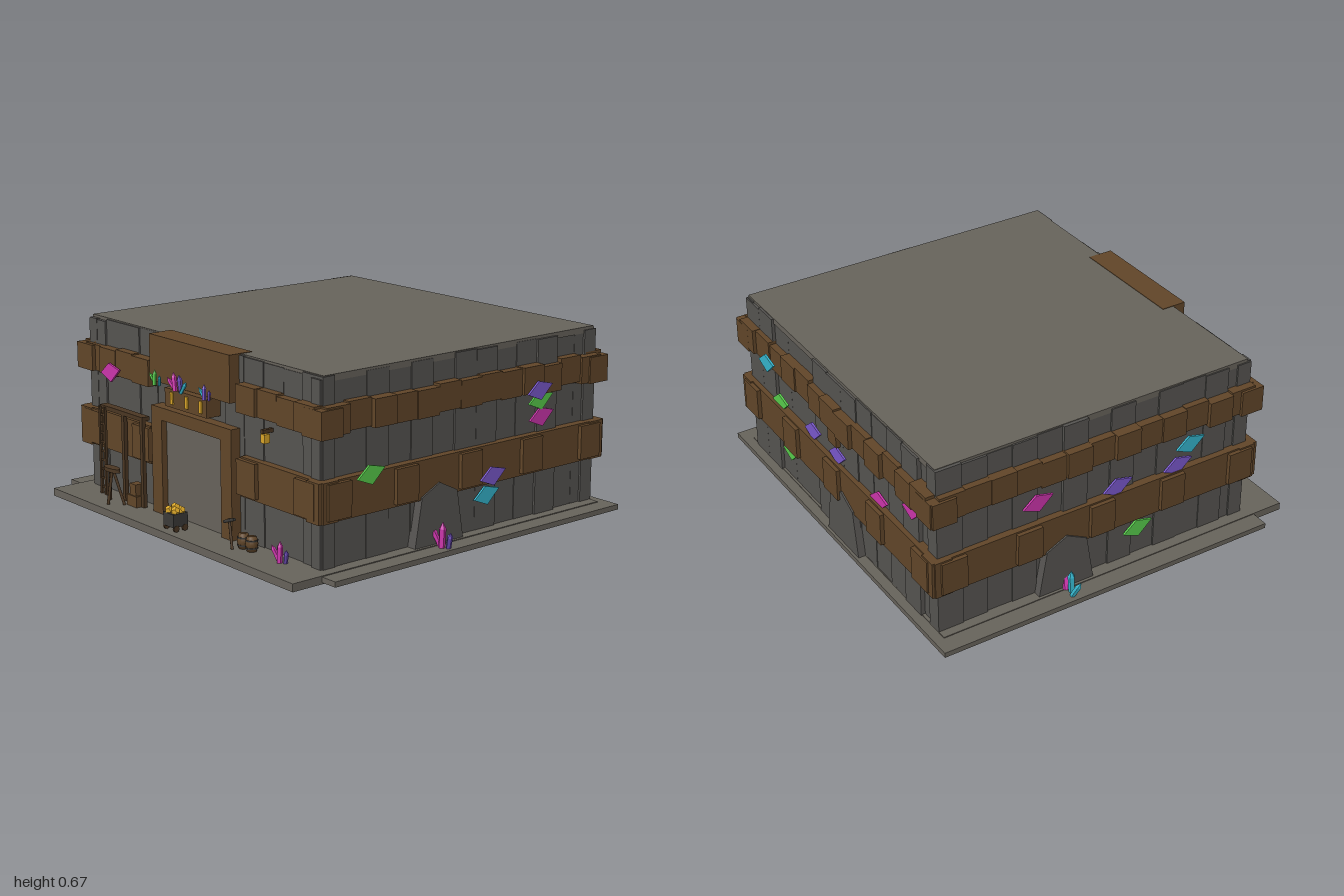
import * as THREE from 'three';

const mat = (name, color) => {
  const m = new THREE.MeshStandardMaterial({ color });
  m.name = name;
  return m;
};

export function createModel() {
  const M = {
    stone: mat('warm stone', 0x67635b), wall: mat('wall rock', 0x565451),
    wood: mat('timber', 0x614629), dark: mat('dark timber', 0x4b3723),
    iron: mat('iron', 0x3b3a38), gold: mat('gold', 0xd9a528),
    magenta: mat('magenta crystal', 0xcc35ac), cyan: mat('cyan crystal', 0x35b4cc),
    green: mat('green crystal', 0x58cc4c), purple: mat('purple crystal', 0x7a58cc),
  };
  const root = new THREE.Group();
  root.name = 'mineBuilding';
  let seed = 7;
  const rnd = () => (seed = (seed * 16807) % 2147483647) / 2147483647;

  const add = (parent, name, geo, m, x = 0, y = 0, z = 0) => {
    const mesh = new THREE.Mesh(geo, m);
    mesh.name = name;
    mesh.position.set(x, y, z);
    parent.add(mesh);
    return mesh;
  };
  // box given by its limits
  const box = (parent, name, m, x0, x1, y0, y1, z0, z1) =>
    add(parent, name, new THREE.BoxGeometry(x1 - x0, y1 - y0, z1 - z0), m,
      (x0 + x1) / 2, (y0 + y1) / 2, (z0 + z1) / 2);
  // straight round bar between two points
  const bar = (parent, name, m, a, b, r) => {
    const p = new THREE.Vector3(...a), q = new THREE.Vector3(...b), d = q.clone().sub(p);
    const mesh = add(parent, name, new THREE.CylinderGeometry(r, r, d.length(), 6), m);
    mesh.position.copy(p).add(q).multiplyScalar(0.5);
    mesh.quaternion.setFromUnitVectors(new THREE.Vector3(0, 1, 0), d.normalize());
    return mesh;
  };

  // base slabs, core and roof
  box(root, 'baseSlab', M.stone, -0.767, 0.765, 0.006, 0.025, -0.667, 0.66);
  box(root, 'frontSlab', M.stone, -0.7, 0.7, 0, 0.028, -0.63, 0.78);
  box(root, 'core', M.wall, -0.64, 0.64, 0.025, 0.65, -0.605, 0.6);
  box(root, 'roof', M.stone, -0.655, 0.655, 0.645, 0.667, -0.625, 0.615);

  // each side is built facing +z in its own frame, then turned
  const side = (name, turn, dist, half, gap) => {
    const g = new THREE.Group();
    g.name = name;
    g.rotation.y = turn;
    root.add(g);
    const n = Math.round(half * 2 / 0.1), w = half * 2 / n;
    for (let i = 0; i < n; i++) {
      const u = -half + i * w, c = u + w / 2;
      const inGap = Math.abs(c) < gap;
      // rock panels of uneven depth
      box(g, 'rockPanel', M.wall, u, u + w, 0.025, 0.655 + rnd() * 0.01, dist - 0.04, dist + rnd() * 0.018);
      // upper course of timber blocks
      if (!inGap) {
        const lift = (rnd() - 0.5) * 0.016;
        box(g, 'upperBlock', M.wood, u, u + w, 0.474 + lift, 0.57 + lift, dist - 0.03, dist + 0.03 + rnd() * 0.02);
      }
      // raised blocks on the lower beam
      if (!inGap && i % 3 === 0)
        box(g, 'lowerBlock', M.wood, u, u + w, 0.2, 0.322, dist - 0.03, dist + 0.049);
    }
    // lower beam and block ends at the corners
    const reach = half + 0.03;
    for (const s of [-1, 1]) {
      const a = s * (gap || 0), b = s * reach;
      box(g, 'lowerBeam', M.wood, Math.min(a, b), Math.max(a, b), 0.19, 0.328, dist - 0.03, dist + 0.034);
      box(g, 'cornerBlock', M.wood, Math.min(s * (half - 0.06), b), Math.max(s * (half - 0.06), b), 0.47, 0.565, dist - 0.03, dist + 0.048);
    }
    return g;
  };
  const front = side('frontWall', 0, 0.612, 0.66, 0.26);
  const right = side('leftWall', Math.PI / 2, 0.65, 0.63, 0);
  const back = side('backWall', Math.PI, 0.617, 0.66, 0);
  const left = side('rightWall', -Math.PI / 2, 0.65, 0.63, 0);

  // blocked side tunnels
  const arch = new THREE.Shape([[-0.11, 0.025], [0.11, 0.025], [0.08, 0.2], [0, 0.24], [-0.08, 0.2]]
    .map(p => new THREE.Vector2(...p)));
  const archGeo = new THREE.ExtrudeGeometry(arch, { depth: 0.04, bevelEnabled: false });
  for (const [g, u, d] of [[right, -0.14, 0.65], [left, -0.14, 0.65], [back, 0.06, 0.617]])
    add(g, 'sealedTunnel', archGeo, M.wall, u, 0, d);
  box(back, 'backBracket', M.wood, -0.03, 0.03, 0.4, 0.48, 0.6, 0.65);

  // flat crystal facets set in the walls
  const facet = new THREE.Shape([[-0.058, -0.01], [-0.008, 0.032], [0.058, 0.016], [0.004, -0.035]]
    .map(p => new THREE.Vector2(...p)));
  const facetGeo = new THREE.ExtrudeGeometry(facet, { depth: 0.008, bevelEnabled: false });
  const facets = [
    [right, 0.702, [['purple', 0.31, 0.49], ['green', 0.345, 0.445], ['magenta', 0.35, 0.385],
      ['green', -0.46, 0.33], ['purple', 0.09, 0.225], ['cyan', 0.09, 0.15]]],
    [left, 0.702, [['cyan', 0.37, 0.42], ['purple', 0.32, 0.35], ['purple', 0.07, 0.355],
      ['magenta', -0.25, 0.41], ['green', 0.16, 0.15]]],
    [back, 0.662, [['cyan', -0.45, 0.5], ['green', -0.42, 0.34], ['green', -0.36, 0.16],
      ['purple', -0.17, 0.355], ['purple', 0.01, 0.355], ['magenta', 0.3, 0.34], ['magenta', 0.52, 0.435]]],
    [front, 0.664, [['magenta', -0.47, 0.49]]],
  ];
  for (const [g, d, list] of facets)
    for (const [c, u, y] of list) add(g, 'crystalFacet', facetGeo, M[c], u, y, d - (y > 0.33 && y < 0.46 || y < 0.19 ? 0.03 : 0));

  // standing crystal clusters: colour, lean across, lean forward, height
  const crystal = (g, c, x, y, z, h, leanX, leanZ) => {
    const r = h * 0.13;
    const geo = new THREE.LatheGeometry([[0, 0], [r, 0], [r * 1.1, h * 0.72], [0, h]]
      .map(p => new THREE.Vector2(...p)), 5).toNonIndexed();
    geo.computeVertexNormals();
    add(g, 'crystal', geo, M[c], x, y, z).rotation.set(leanZ, 0, -leanX);
  };
  const cluster = (name, x, y, z, s, colours) => {
    const g = new THREE.Group();
    g.name = name;
    root.add(g);
    colours.forEach((c, i) => {
      const t = i - (colours.length - 1) / 2;
      crystal(g, c, x + t * s * 0.22, y, z + (i % 2) * 0.012, s * (1 - 0.2 * Math.abs(t)), t * 0.4, 0.25 - 0.3 * (i % 2));
    });
  };
  cluster('groundCrystals', -0.72, 0.025, -0.15, 0.09, ['cyan', 'cyan', 'magenta']);
  cluster('groundCrystals', 0.725, 0.025, 0.15, 0.09, ['magenta', 'magenta', 'purple']);
  cluster('groundCrystals', 0.51, 0.028, 0.67, 0.075, ['magenta', 'magenta', 'purple']);
  cluster('shelfCrystals', -0.15, 0.505, 0.69, 0.055, ['green', 'green', 'cyan']);
  cluster('shelfCrystals', -0.02, 0.505, 0.69, 0.075, ['magenta', 'magenta', 'purple', 'cyan']);
  cluster('shelfCrystals', 0.135, 0.505, 0.69, 0.055, ['cyan', 'purple', 'purple']);

  // entrance: frame, stone door, header and shelf
  for (const s of [-1, 1]) box(root, 'doorPost', M.wood, s * 0.2 - 0.03, s * 0.2 + 0.03, 0.028, 0.415, 0.6, 0.662);
  box(root, 'doorLintel', M.wood, -0.17, 0.17, 0.37, 0.415, 0.6, 0.662);
  box(root, 'stoneDoor', M.stone, -0.17, 0.17, 0.028, 0.37, 0.6, 0.64);
  box(root, 'headerBoard', M.wood, -0.23, 0.23, 0.505, 0.669, 0.57, 0.665);
  box(root, 'shelfBeam', M.wood, -0.12, 0.12, 0.435, 0.5, 0.61, 0.68);
  for (const x of [-0.075, 0.01, 0.09]) box(root, 'goldBar', M.gold, x - 0.007, x + 0.007, 0.448, 0.49, 0.68, 0.686);

  // scaffold frame and ladder
  for (const x of [-0.4, -0.285]) box(root, 'scaffoldPost', M.dark, x - 0.008, x + 0.008, 0.028, 0.35, 0.655, 0.67);
  box(root, 'scaffoldBeam', M.dark, -0.54, -0.275, 0.345, 0.36, 0.64, 0.672);
  for (const x of [-0.535, -0.505]) box(root, 'ladderRail', M.dark, x - 0.005, x + 0.005, 0.028, 0.355, 0.67, 0.68);
  for (let i = 0; i < 9; i++) box(root, 'ladderRung', M.dark, -0.535, -0.505, 0.05 + i * 0.034, 0.057 + i * 0.034, 0.672, 0.678);

  // work stool and stacked crates
  const seat = add(root, 'stoolSeat', new THREE.CylinderGeometry(0.046, 0.046, 0.014, 10), M.dark, -0.4, 0.155, 0.72);
  seat.scale.z = 0.4;
  for (const [x, z] of [[-0.045, 0.7], [0, 0.74], [0.045, 0.7]])
    bar(root, 'stoolLeg', M.dark, [-0.4 + x, 0.028, z], [-0.4 + x * 0.2, 0.15, 0.72], 0.006);
  box(root, 'crate', M.wood, -0.355, -0.295, 0.028, 0.068, 0.65, 0.69);
  box(root, 'crate', M.wood, -0.342, -0.305, 0.068, 0.11, 0.652, 0.685);

  // ore cart full of gold
  box(root, 'cartBody', M.iron, -0.03, 0.03, 0.045, 0.092, 0.7, 0.76);
  for (const x of [-0.028, 0.028]) for (const z of [0.712, 0.748]) {
    const w = add(root, 'cartWheel', new THREE.CylinderGeometry(0.012, 0.012, 0.008, 8), M.dark, x, 0.04, z);
    w.rotation.z = Math.PI / 2;
  }
  for (const [x, y, z] of [[-0.015, 0.098, 0.72], [0.015, 0.098, 0.74], [0, 0.107, 0.73], [-0.014, 0.097, 0.745], [0.015, 0.097, 0.717]])
    add(root, 'goldNugget', new THREE.DodecahedronGeometry(0.017), M.gold, x, y, z);

  // barrels with hoops, pickaxe and lantern
  for (const x of [0.31, 0.355]) {
    add(root, 'barrel', new THREE.LatheGeometry([[0, 0], [0.017, 0], [0.022, 0.025], [0.017, 0.05], [0, 0.05]]
      .map(p => new THREE.Vector2(...p)), 10), M.wood, x, 0.028, 0.675);
    for (const y of [0.04, 0.066]) add(root, 'barrelHoop', new THREE.CylinderGeometry(0.0215, 0.0215, 0.005, 10), M.iron, x, y, 0.675);
  }
  bar(root, 'pickHandle', M.dark, [0.3, 0.028, 0.715], [0.265, 0.125, 0.7], 0.005);
  bar(root, 'pickHead', M.iron, [0.245, 0.11, 0.705], [0.295, 0.128, 0.7], 0.006);
  box(root, 'lanternArm', M.dark, 0.388, 0.402, 0.435, 0.448, 0.61, 0.66);
  box(root, 'lantern', M.gold, 0.384, 0.406, 0.402, 0.432, 0.635, 0.658);
  return root;
}
